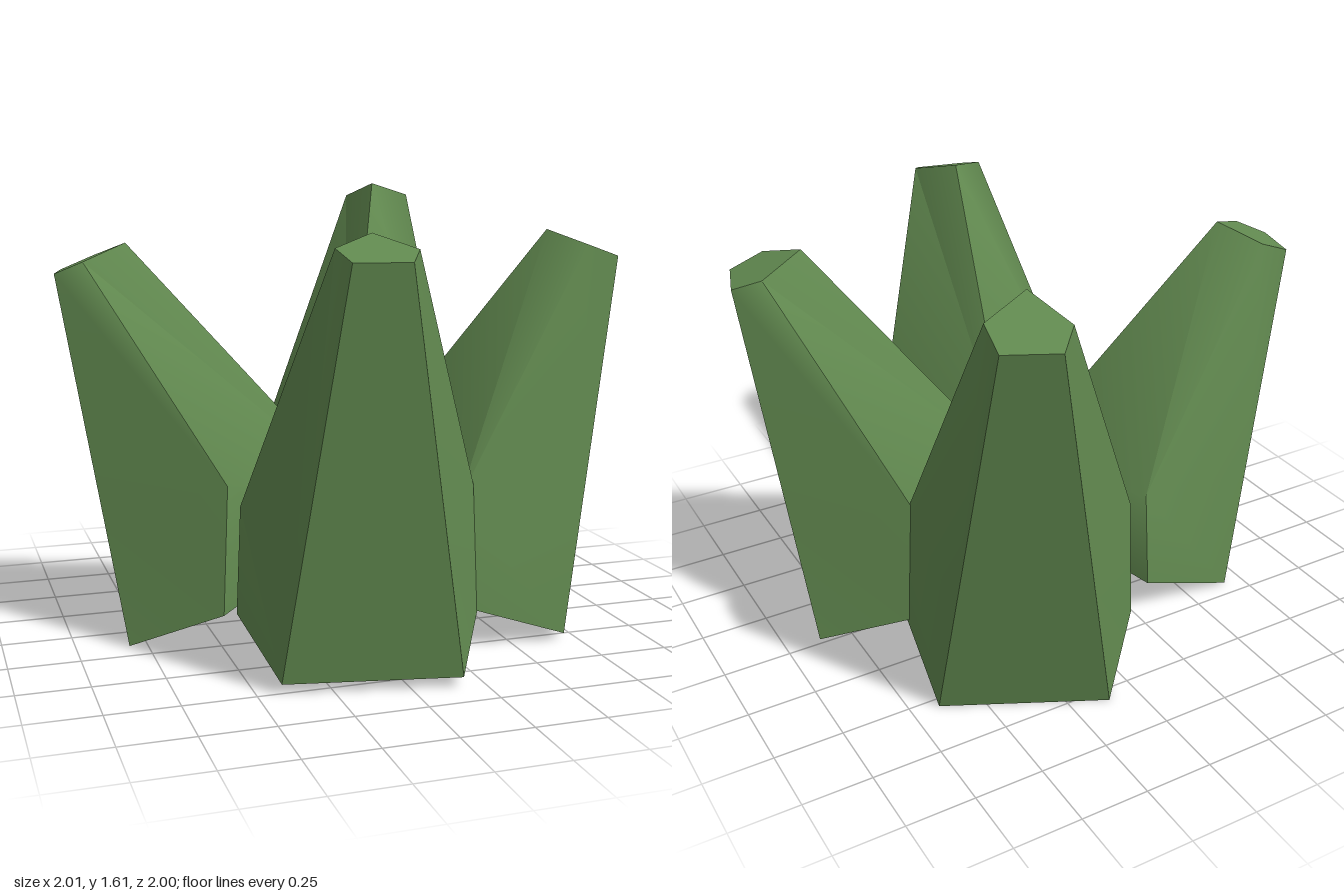
import * as THREE from 'three';
import { toCreasedNormals } from 'three/addons/utils/BufferGeometryUtils.js';

const CENTRE = [0.03, 0.04];

// Pentagon cross-section, from the inner corner at the plant's centre outwards.
const BASE = [[0, 0], [0.32, 0.53], [0.14, 0.84], [-0.45, 0.72], [-0.5, 0.32]];
const TIP_SCALE = 0.31;

// How far out from the inner corner a section point lies.
const outward = ([x, z]) => -0.2 * x + 0.98 * z;

// angle in degrees about the centre, height of the outer foot, tilt of the sections,
// and the inner corner of the tip.
const LOBES = [
  { name: 'frontLeaf', angle: 0, foot: 0.035, tilt: 0.31, tip: [-0.11, 1.49, 0.74] },
  { name: 'rightLeaf', angle: 92, foot: 0, tilt: 0.42, tip: [-0.745, 1.42, -0.14] },
  { name: 'backLeaf', angle: 195, foot: 0, tilt: 0.39, tip: [0.41, 1.615, -0.735] },
  { name: 'leftLeaf', angle: -83.7, foot: 0.025, tilt: 0.37, tip: [0.74, 1.465, 0.255] },
];

function leafGeometry({ angle, foot, tilt, tip }) {
  const a = THREE.MathUtils.degToRad(angle);
  const turn = ([x, z]) => [x * Math.cos(a) - z * Math.sin(a), x * Math.sin(a) + z * Math.cos(a)];
  const reach = 0.796;

  const bottom = BASE.map((p) => {
    const [x, z] = turn(p);
    return new THREE.Vector3(CENTRE[0] + x, foot + tilt * (reach - outward(p)), CENTRE[1] + z);
  });
  const top = BASE.map((p) => {
    const [x, z] = turn(p);
    return new THREE.Vector3(
      tip[0] + x * TIP_SCALE, tip[1] - tilt * outward(p) * TIP_SCALE, tip[2] + z * TIP_SCALE);
  });
  // Shoulder: inner and side corners rise almost straight, outer corners run straight to the tip.
  const rise = [0.2, 0.46, 0, 0, 0.38];
  const middle = bottom.map((p, i) => {
    if (i === 2 || i === 3) return p.clone().lerp(top[i], 0.35);
    const [x, z] = turn(BASE[i].map((v) => v * 0.96));
    return new THREE.Vector3(CENTRE[0] + x, p.y + rise[i], CENTRE[1] + z);
  });

  const corners = [];
  const add = (...points) => points.forEach((p) => corners.push(p));
  for (const [low, high] of [[bottom, middle], [middle, top]]) {
    for (let i = 0; i < 5; i++) {
      const j = (i + 1) % 5;
      add(low[i], high[i], high[j], low[i], high[j], low[j]);
    }
  }
  for (let i = 1; i < 4; i++) {
    add(bottom[0], bottom[i], bottom[i + 1]);
    add(top[0], top[i + 1], top[i]);
  }
  const geometry = new THREE.BufferGeometry().setFromPoints(corners);
  return toCreasedNormals(geometry, THREE.MathUtils.degToRad(62));
}

export function createModel() {
  const group = new THREE.Group();
  group.name = 'plant';
  const green = new THREE.MeshStandardMaterial({ color: 0x628a50 });
  green.name = 'leaf green';

  // Four tapered leaves leaning out from a shared centre
  for (const lobe of LOBES) {
    const leaf = new THREE.Mesh(leafGeometry(lobe), green);
    leaf.name = lobe.name;
    group.add(leaf);
  }
  return group;
}
